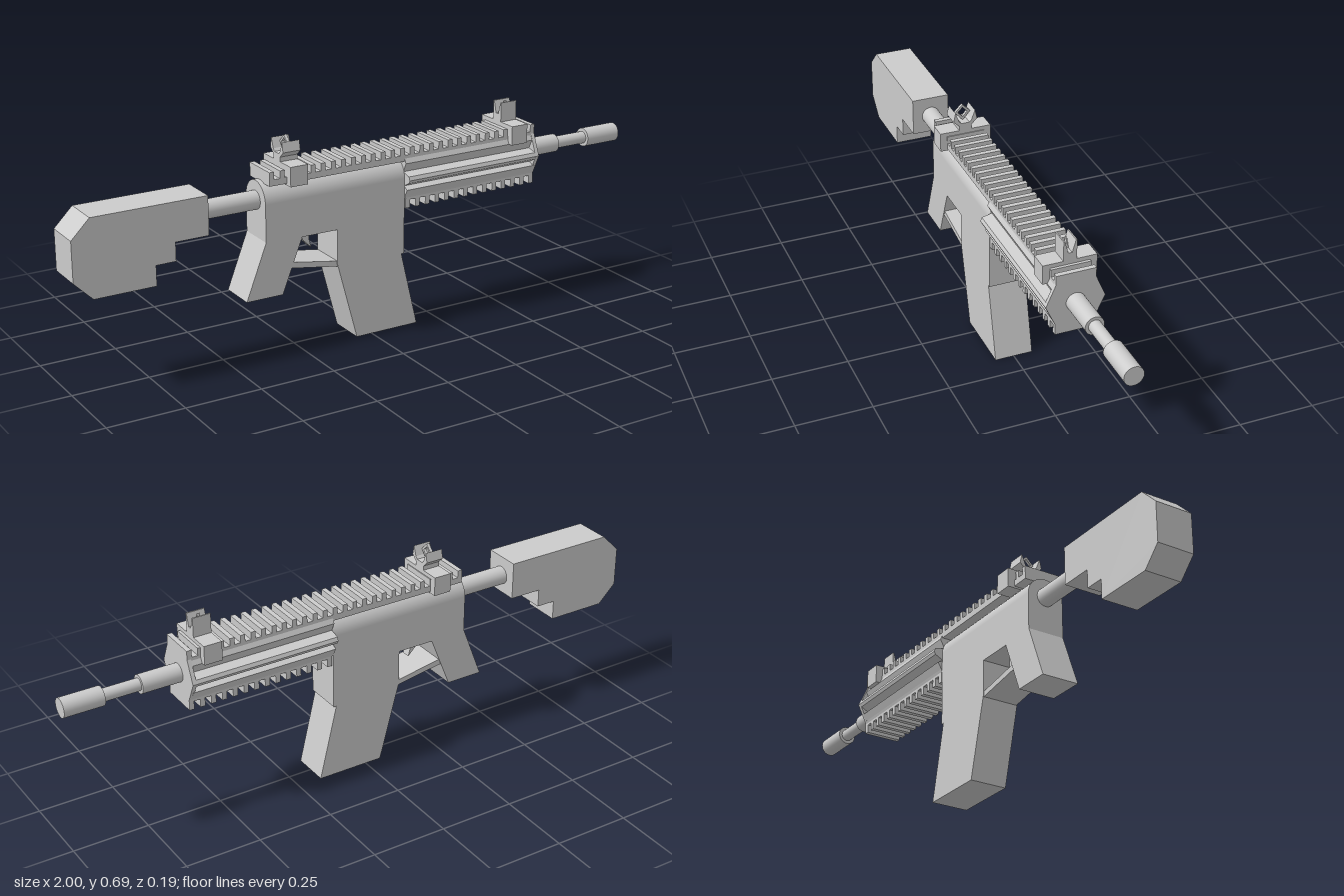
import * as THREE from 'three';

const AXIS_Y = 0.5;
const HALF_W = 0.0625;

export function createModel() {
  const model = new THREE.Group();
  const flat = new THREE.MeshStandardMaterial({ color: 0xcccccc, flatShading: true });
  const smooth = new THREE.MeshStandardMaterial({ color: 0xcccccc });

  const add = (name, geometry, material = flat, parent = model) => {
    const mesh = new THREE.Mesh(geometry, material);
    mesh.name = name;
    parent.add(mesh);
    return mesh;
  };
  const group = (name) => {
    const g = new THREE.Group();
    g.name = name;
    model.add(g);
    return g;
  };
  const shapeOf = (points) => new THREE.Shape(points.map(([x, y]) => new THREE.Vector2(x, y)));

  // Side outline in x/y, given thickness across z
  const slab = (name, points, halfWidth = HALF_W, parent = model) => {
    const g = new THREE.ExtrudeGeometry(shapeOf(points), { depth: halfWidth * 2, bevelEnabled: false });
    g.translate(0, 0, -halfWidth);
    return add(name, g, flat, parent);
  };
  // Cross-section in z/y, run along x from x0 to x1
  const prism = (name, shape, x0, x1, parent = model) => {
    const g = new THREE.ExtrudeGeometry(shape, { depth: x1 - x0, bevelEnabled: false });
    g.rotateY(Math.PI / 2);
    g.translate(x0, 0, 0);
    return add(name, g, flat, parent);
  };
  const box = (name, x0, x1, y0, y1, halfWidth, parent = model) => {
    const g = new THREE.BoxGeometry(x1 - x0, y1 - y0, halfWidth * 2);
    g.translate((x0 + x1) / 2, (y0 + y1) / 2, 0);
    return add(name, g, flat, parent);
  };
  const rod = (name, x0, x1, radius) => {
    const g = new THREE.CylinderGeometry(radius, radius, x1 - x0, 32);
    g.rotateZ(-Math.PI / 2);
    g.translate((x0 + x1) / 2, AXIS_Y, 0);
    return add(name, g, smooth);
  };
  // Half outline (top to bottom) completed by its mirror image
  const mirrored = (half) => shapeOf([...half, ...half.map(([z, y]) => [-z, y]).reverse()]);

  // Stock with stepped underside
  slab('stock', [
    [-0.94, 0.565], [-1, 0.505], [-1, 0.375], [-0.94, 0.315], [-0.74, 0.315],
    [-0.74, 0.38], [-0.675, 0.38], [-0.675, 0.44], [-0.565, 0.44], [-0.565, 0.565],
  ]);

  // Tubes along the axis
  rod('stockTube', -0.57, -0.37, 0.03);
  rod('barrelBase', 0.61, 0.75, 0.03);
  rod('barrel', 0.74, 0.88, 0.02);
  rod('muzzle', 0.87, 1, 0.031);

  // Receiver, grip and magazine in one outline, with a round top
  slab('receiver', [
    [-0.375, 0.5], [-0.375, 0.38], [-0.445, 0.2], [-0.32, 0.2], [-0.25, 0.375],
    [-0.125, 0.375], [-0.125, 0.26], [-0.055, 0], [0.17, 0], [0.11, 0.25],
    [0.12, 0.25], [0.12, 0.5],
  ]);
  rod('receiverTop', -0.375, 0.12, HALF_W);

  // Trigger and guard
  slab('triggerGuard', [[-0.29, 0.28], [-0.12, 0.252], [-0.12, 0.27], [-0.283, 0.298]], 0.06);
  slab('trigger', [
    [-0.23, 0.38], [-0.222, 0.345], [-0.192, 0.315], [-0.2, 0.345], [-0.2, 0.38],
  ], 0.015);

  // Ribbed handguard with a plain end plate
  prism('handguard', mirrored([
    [HALF_W, 0.565], [0.07, 0.55], [0.055, 0.52], [0.088, 0.512], [0.093, 0.5],
    [0.088, 0.49], [0.06, 0.475], [0.078, 0.465], [0.066, 0.443], [HALF_W, 0.435],
  ]), 0.12, 0.612);
  prism('handguardEndPlate', mirrored([
    [HALF_W, 0.57], [0.093, 0.5], [HALF_W, 0.435],
  ]), 0.607, 0.62);

  // Toothed rails above and below
  const rail = (name, x0, x1, base, tip, count) => {
    const g = group(name);
    const step = (x1 - x0 - 0.016) / (count - 1);
    box('railBase', x0, x1, base - 0.01, base + 0.01, HALF_W, g);
    for (let i = 0; i < count; i++) {
      const x = x0 + i * step;
      box('railTooth', x, x + 0.016, Math.min(base, tip), Math.max(base, tip), HALF_W, g);
    }
  };
  rail('topRail', -0.36, 0.62, 0.566, 0.6, 28);
  rail('bottomRail', 0.125, 0.62, 0.437, 0.4, 14);

  // Sight mounts straddling the top rail
  const mount = (name, x) => {
    const g = group(name);
    box('sightMount', x - 0.03, x + 0.03, 0.55, 0.613, 0.085, g);
    box('sightNeck', x - 0.03, x + 0.03, 0.61, 0.637, 0.021, g);
    return g;
  };
  const prongs = (name, points, x, parent) => {
    for (const s of [1, -1]) {
      prism(name, shapeOf(points.map(([z, y]) => [z * s, y])), x - 0.03, x + 0.03, parent);
    }
  };

  // Rear sight: flared wings and a diamond ring
  const rear = mount('rearSight', -0.27);
  prongs('sightWing', [[0.012, 0.635], [0.021, 0.628], [0.04, 0.646], [0.033, 0.677], [0.021, 0.645]], -0.27, rear);
  const diamond = shapeOf([[0.026, 0.664], [0, 0.69], [-0.026, 0.664], [0, 0.635]]);
  diamond.holes.push(new THREE.Path([[0.016, 0.664], [0, 0.647], [-0.016, 0.664], [0, 0.68]]
    .map(([z, y]) => new THREE.Vector2(z, y))));
  prism('sightRing', diamond, -0.275, -0.265, rear);

  // Front sight: upright prongs and a centre spike
  const front = mount('frontSight', 0.545);
  prongs('sightProng', [[0.004, 0.63], [0.021, 0.63], [0.021, 0.677], [0.017, 0.677], [0.008, 0.645]], 0.545, front);
  prism('sightSpike', shapeOf([[-0.006, 0.635], [0.006, 0.635], [0, 0.677]]), 0.54, 0.55, front);

  return model;
}
